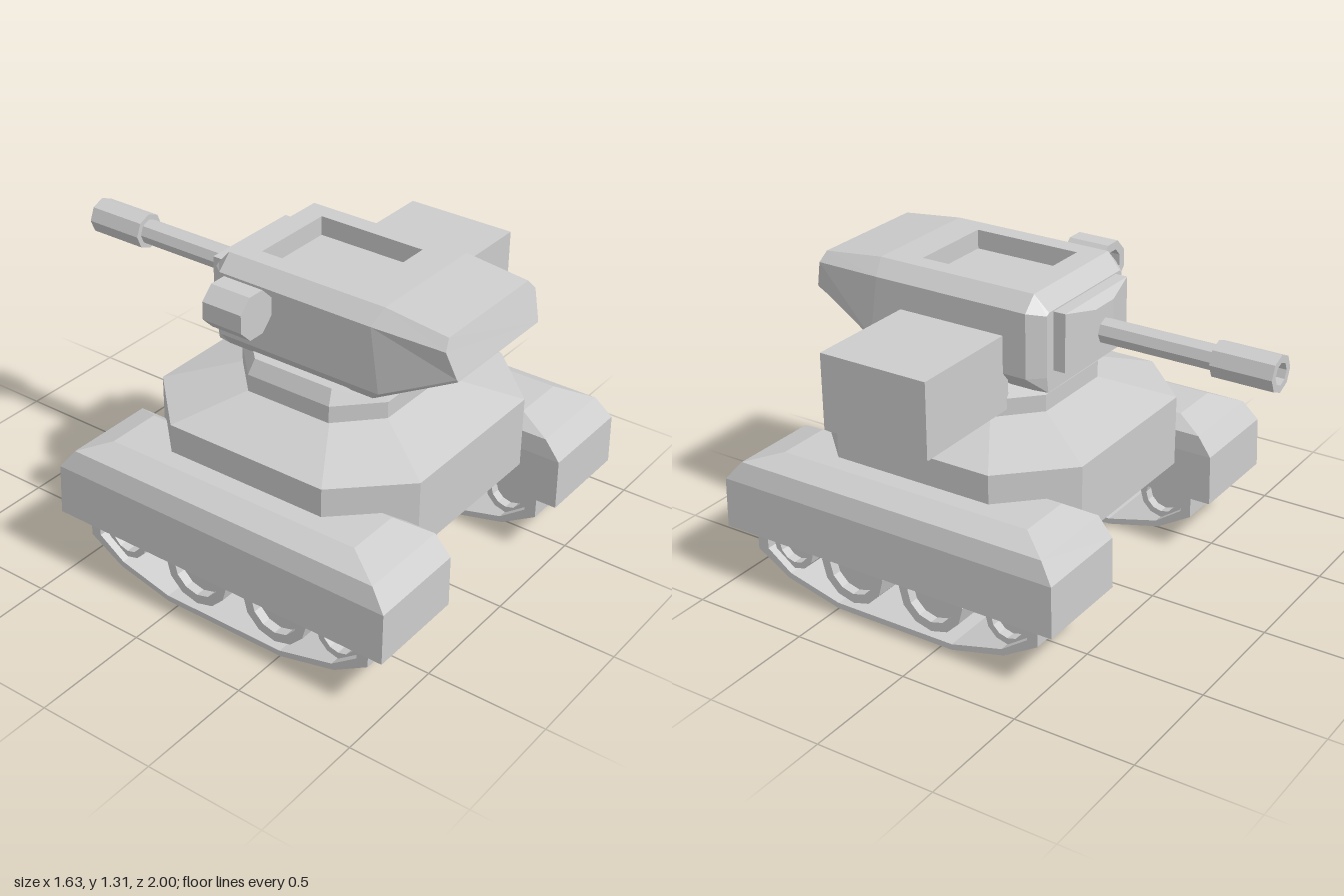
import * as THREE from 'three';

// Solid from cross-section loops; winding is fixed by signed volume.
// skip(ring, side) leaves a face out; open drops the end cap; inward turns it inside out.
function loft(rings, { skip = () => false, open = false, inward = false } = {}) {
  const tris = [], skipped = [];
  const n = rings[0].length;
  for (let r = 0; r < rings.length - 1; r++) {
    for (let i = 0; i < n; i++) {
      const j = (i + 1) % n, a = rings[r], b = rings[r + 1];
      (skip(r, i) ? skipped : tris).push([a[i], a[j], b[j]], [a[i], b[j], b[i]]);
    }
  }
  const first = rings[0], last = rings[rings.length - 1];
  for (let i = 1; i < n - 1; i++) {
    tris.push([first[0], first[i + 1], first[i]]);
    (open ? skipped : tris).push([last[0], last[i], last[i + 1]]);
  }
  const v = (p) => new THREE.Vector3(...p);
  let volume = 0;
  for (const [a, b, c] of [...tris, ...skipped]) volume += v(a).dot(v(b).cross(v(c)));
  const flip = (volume < 0) !== inward;
  const pos = [];
  for (const [a, b, c] of tris) {
    const area = v(b).sub(v(a)).cross(v(c).sub(v(a))).length();
    if (area > 1e-8) pos.push(...a, ...(flip ? c : b), ...(flip ? b : c));
  }
  const g = new THREE.BufferGeometry();
  g.setAttribute('position', new THREE.Float32BufferAttribute(pos, 3));
  g.computeVertexNormals();
  return g;
}

// Rectangle and cut-corner rectangle loops at height y
const rect = (y, x0, x1, z0, z1) => [[x0, y, z0], [x1, y, z0], [x1, y, z1], [x0, y, z1]];
const octagon = (y, x, cx, z0, z1, cz0, cz1) => [
  [-cx, y, z0], [cx, y, z0], [x, y, cz0], [x, y, cz1],
  [cx, y, z1], [-cx, y, z1], [-x, y, cz1], [-x, y, cz0],
];

// Faceted turned part, profile given as [radius, height]
function turned(profile, sides) {
  const lathe = new THREE.LatheGeometry(profile.map((p) => new THREE.Vector2(...p)), sides);
  const g = lathe.toNonIndexed();
  g.computeVertexNormals();
  return g;
}

export function createModel() {
  const model = new THREE.Group();
  model.name = 'tank';
  const grey = new THREE.MeshStandardMaterial({ color: 0xcccccc });
  grey.name = 'plain grey';
  const add = (name, geometry, parent = model) => {
    const mesh = new THREE.Mesh(geometry, grey);
    mesh.name = name;
    parent.add(mesh);
    return mesh;
  };

  // Hull: eight-sided belt tapering to a smaller deck and belly
  add('hull', loft([
    octagon(0.16, 0.36, 0.36, -0.12, 0.58, -0.12, 0.58),
    octagon(0.41, 0.61, 0.36, -0.385, 0.84, -0.13, 0.58),
    octagon(0.71, 0.61, 0.36, -0.385, 0.84, -0.13, 0.58),
    octagon(0.8, 0.345, 0.19, -0.115, 0.575, 0.04, 0.42),
  ]));

  // Turret ring
  add('turretRing', loft([
    octagon(0.79, 0.35, 0.19, -0.115, 0.575, 0.04, 0.42),
    octagon(0.87, 0.35, 0.19, -0.115, 0.575, 0.04, 0.42),
    octagon(0.93, 0.32, 0.18, -0.085, 0.545, 0.05, 0.41),
  ]));

  // Turret: half sections from rear to nose, mirrored into loops
  const turret = new THREE.Group();
  turret.name = 'turret';
  model.add(turret);
  const mirrored = (half) => [...half, ...half.map(([x, y, z]) => [-x, y, z]).reverse()];
  add('turretShell', loft([
    [[0.26, 0.92, -0.17], [0.27, 0.985, -0.17], [0.27, 1.235, -0.17], [0.255, 1.245, -0.17]],
    [[0.27, 0.92, -0.11], [0.325, 0.985, -0.11], [0.325, 1.25, -0.11], [0.265, 1.31, -0.11]],
    [[0.27, 0.92, 0.56], [0.325, 0.985, 0.62], [0.325, 1.25, 0.58], [0.265, 1.31, 0.6]],
    [[0.27, 1.12, 0.92], [0.275, 1.13, 0.917], [0.3, 1.24, 0.882], [0.265, 1.28, 0.87]],
  ].map(mirrored), { skip: (r, i) => r === 1 && i === 3 }), turret);

  // Roof frame around the sunken hatch
  const roof = new THREE.Shape();
  roof.moveTo(-0.265, -0.6).lineTo(0.265, -0.6).lineTo(0.265, 0.11).lineTo(-0.265, 0.11);
  const opening = new THREE.Path();
  opening.moveTo(-0.187, -0.455).lineTo(-0.187, 0.015).lineTo(0.187, 0.015).lineTo(0.187, -0.455);
  roof.holes.push(opening);
  add('turretRoof', new THREE.ShapeGeometry(roof).rotateX(-Math.PI / 2).translate(0, 1.31, 0), turret);
  add('hatchWell', loft([
    rect(1.23, -0.187, 0.187, -0.015, 0.455),
    rect(1.31, -0.187, 0.187, -0.015, 0.455),
  ], { open: true, inward: true }), turret);

  // Box on the turret's left flank
  add('sideBox', new THREE.BoxGeometry(0.525, 0.315, 0.475).translate(0.5525, 0.9825, 0.23), turret);

  // Hollow eight-sided pod on the right flank, open to the rear
  add('sidePod', turned([[0, -0.14], [0.097, -0.14], [0.097, 0.04], [0.06, 0.04], [0.06, -0.02], [0, -0.02]], 8)
    .rotateY(Math.PI / 8).rotateX(-Math.PI / 2).translate(-0.42, 1.19, 0), turret);

  // Gun mount
  const plate = (z, x, y0, y1) => [[-x, y0, z], [x, y0, z], [x, y1, z], [-x, y1, z]];
  add('gunMount', loft([
    plate(-0.15, 0.225, 1.0, 1.24),
    plate(-0.222, 0.225, 1.0, 1.24),
    plate(-0.257, 0.065, 1.03, 1.21),
  ]), turret);

  // Barrel with a wider hollow muzzle
  add('barrel', turned([
    [0, 0.2], [0.052, 0.2], [0.052, 0.745], [0.075, 0.745],
    [0.075, 1], [0.045, 1], [0.045, 0.88], [0, 0.88],
  ], 8).rotateX(-Math.PI / 2).translate(-0.005, 1.102, 0), turret);

  // Track belt outline in (z, y): outer edge, then inner edge back
  const belt = new THREE.Shape([
    [0.9, 0.28], [0.9, 0.15], [0.75, 0.06], [0.5, 0], [-0.05, 0], [-0.29, 0.06], [-0.44, 0.15], [-0.44, 0.28],
    [-0.395, 0.28], [-0.395, 0.165], [-0.28, 0.085], [-0.05, 0.025], [0.5, 0.025], [0.74, 0.085],
    [0.85, 0.165], [0.85, 0.28],
  ].map((p) => new THREE.Vector2(...p)));
  const wheels = [[0.745, 0.19, 0.1], [0.45, 0.175, 0.15], [0.07, 0.175, 0.15], [-0.285, 0.19, 0.1]];

  for (const side of [1, -1]) {
    const unit = new THREE.Group();
    unit.name = side > 0 ? 'leftTrackUnit' : 'rightTrackUnit';
    model.add(unit);

    // Fender with sloped upper edges
    add('fender', loft([
      rect(0.252, side * 0.385, side * 0.815, -0.54, 1),
      rect(0.465, side * 0.385, side * 0.81, -0.535, 0.998),
      rect(0.545, side * 0.39, side * 0.783, -0.475, 0.93),
      rect(0.59, side * 0.455, side * 0.69, -0.355, 0.785),
    ]), unit);

    add('trackBelt', new THREE.ExtrudeGeometry(belt, { depth: 0.345, bevelEnabled: false })
      .rotateY(-Math.PI / 2).translate(side > 0 ? 0.755 : -0.41, 0, 0), unit);

    // Dished road wheels
    for (const [z, y, r] of wheels) {
      const hub = r * 0.73;
      add('roadWheel', turned([
        [0, -0.1], [hub, -0.1], [hub, -0.14], [r, -0.14],
        [r, 0.14], [hub, 0.14], [hub, 0.1], [0, 0.1],
      ], 12).rotateZ(Math.PI / 2).translate(side * 0.582, y, z), unit);
    }
  }
  return model;
}
